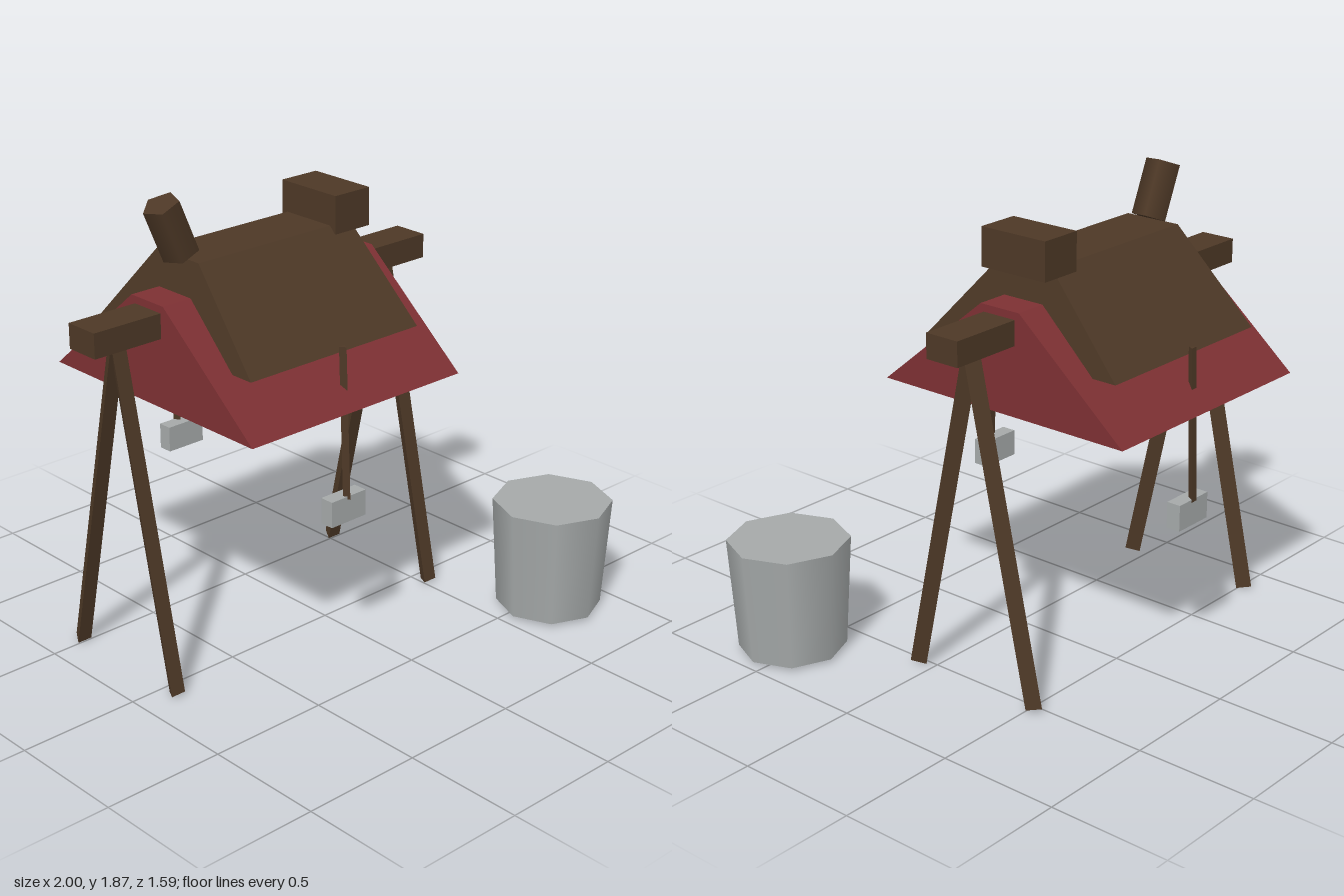
import * as THREE from 'three';

export function createModel() {
  const model = new THREE.Group();
  model.name = 'saddleStand';

  const material = (name, color) => {
    const m = new THREE.MeshStandardMaterial({ color });
    m.name = name;
    return m;
  };
  const brown = material('brown leather and wood', 0x4d3826);
  const red = material('red blanket', 0x7d3033);
  const grey = material('grey metal', 0xa5a9a9);

  const add = (name, geometry, mat) => {
    const mesh = new THREE.Mesh(geometry, mat);
    mesh.name = name;
    model.add(mesh);
    return mesh;
  };

  // Box given by its min and max on each axis
  const box = (name, mat, [x0, x1], [y0, y1], [z0, z1]) => {
    const g = new THREE.BoxGeometry(x1 - x0, y1 - y0, z1 - z0);
    g.translate((x0 + x1) / 2, (y0 + y1) / 2, (z0 + z1) / 2);
    return add(name, g, mat);
  };

  // Block whose top rectangle differs from its bottom one: [x0, x1, z0, z1]
  const taperedBlock = (name, mat, y0, y1, bottom, top) => {
    const g = new THREE.BoxGeometry(1, 1, 1).toNonIndexed();
    const p = g.attributes.position;
    for (let i = 0; i < p.count; i++) {
      const isTop = p.getY(i) > 0;
      const r = isTop ? top : bottom;
      p.setXYZ(i, p.getX(i) < 0 ? r[0] : r[1], isTop ? y1 : y0, p.getZ(i) < 0 ? r[2] : r[3]);
    }
    g.computeVertexNormals();
    return add(name, g, mat);
  };

  // Three-sided bar at x running between two [y, z] points; turn spins its section
  const bar = (name, mat, x, [ya, za], [yb, zb], radius, turn) => {
    const dy = yb - ya, dz = zb - za;
    const g = new THREE.CylinderGeometry(radius, radius, Math.hypot(dy, dz), 3)
      .toNonIndexed();
    g.computeVertexNormals();
    g.rotateY(turn);
    g.rotateX(Math.atan2(dz, dy));
    g.translate(x, (ya + yb) / 2, (za + zb) / 2);
    return add(name, g, mat);
  };

  // Stand: beam on two pairs of splayed legs
  box('beam', brown, [-1, 0.68], [1.36, 1.46], [-0.29, -0.14]);
  for (const [x, side] of [[-0.85, 'right'], [0.522, 'left']]) {
    bar(side + 'FrontLeg', brown, x, [0.01, 0.074], [1.4, -0.224], 0.037, Math.PI);
    bar(side + 'BackLeg', brown, x, [0.01, -0.519], [1.4, -0.212], 0.037, Math.PI);
  }

  // Blanket and saddle
  taperedBlock('blanket', red, 1.08, 1.49,
    [-0.695, 0.37, -0.795, 0.365], [-0.695, 0.37, -0.31, -0.125]);
  taperedBlock('saddleSeat', brown, 1.27, 1.63,
    [-0.59, 0.263, -0.675, 0.24], [-0.546, 0.22, -0.34, -0.095]);
  box('cantle', brown, [0.115, 0.295], [1.6, 1.755], [-0.37, -0.065]);

  // Tilted five-sided horn
  const horn = add('horn', new THREE.CylinderGeometry(0.074, 0.074, 0.225, 5), brown);
  horn.rotation.set(0, Math.PI, 0);
  horn.geometry.rotateY(0);
  horn.rotation.order = 'ZYX';
  horn.rotation.z = 0.4;
  horn.position.set(-0.573, 1.74, -0.217);

  // Stirrups on straps, front and back
  bar('frontStrap', brown, -0.163, [0.69, 0.3], [1.308, 0.275], 0.017, 0);
  bar('backStrap', brown, -0.163, [0.69, -0.725], [1.308, -0.703], 0.017, 0);
  box('frontStirrup', grey, [-0.25, -0.073], [0.595, 0.702], [0.247, 0.307]);
  box('backStirrup', grey, [-0.25, -0.073], [0.595, 0.702], [-0.733, -0.673]);

  // Bucket
  const bucket = add('bucket', new THREE.CylinderGeometry(0.244, 0.215, 0.46, 8), grey);
  bucket.position.set(0.756, 0.245, 0.547);

  return model;
}
